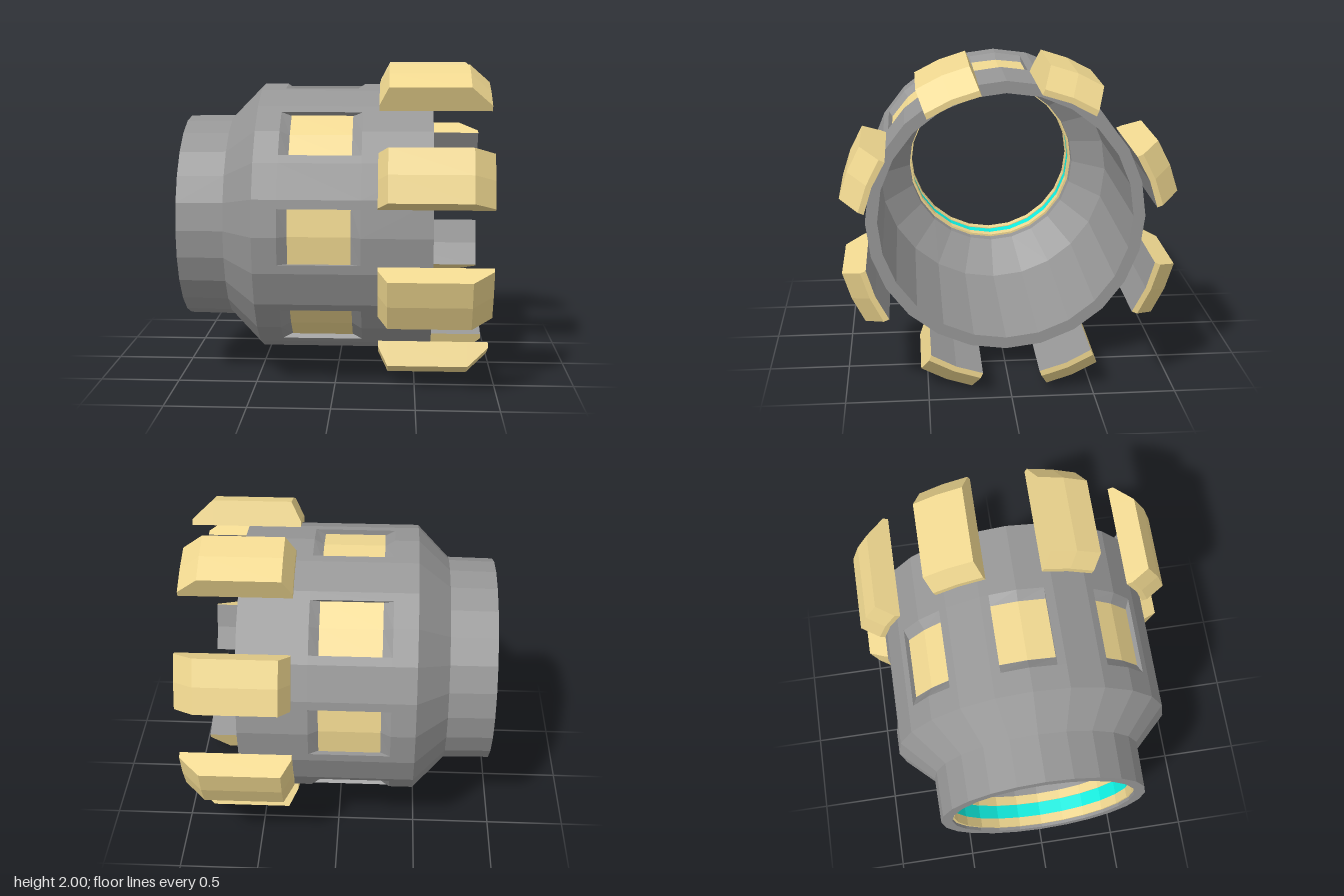
import * as THREE from 'three';

const material = (color) => new THREE.MeshStandardMaterial({ color, flatShading: true, side: THREE.DoubleSide });
const grey = material(0x969696);
const sand = material(0xf0d890);
const cyan = material(0x10eee0);

// Skin successive cross-sections; each is { x, pts: [[across, height], ...] }
function loft(sections) {
  const pos = [];
  const put = (s, j) => pos.push(s.x, s.pts[j][1], s.pts[j][0]);
  for (let i = 0; i < sections.length - 1; i++) {
    const a = sections[i], b = sections[i + 1];
    for (let j = 0; j < a.pts.length - 1; j++) {
      put(a, j); put(a, j + 1); put(b, j + 1);
      put(a, j); put(b, j + 1); put(b, j);
    }
  }
  const g = new THREE.BufferGeometry();
  g.setAttribute('position', new THREE.Float32BufferAttribute(pos, 3));
  g.computeVertexNormals();
  return g;
}

// Revolve [x, radius] points around the x axis
function revolve(name, profile, mat) {
  const g = new THREE.LatheGeometry(profile.map(([x, r]) => new THREE.Vector2(r, x)), 24);
  g.rotateZ(-Math.PI / 2);
  const m = new THREE.Mesh(g, mat);
  m.name = name;
  return m;
}

export function createModel() {
  const model = new THREE.Group();
  model.name = 'slottedCoupling';
  const axis = new THREE.Group();
  axis.name = 'sleeve';
  axis.position.y = 1;
  model.add(axis);

  const R = 0.864, X0 = -0.33, X1 = 0.17, inset = 0.06;

  // Hollow sleeve; the band from X0 to X1 is filled by the windowed sectors
  axis.add(revolve('body', [
    [X1, R], [0.6, R], [0.6, 0.79], [-0.46, 0.79], [-0.67, 0.585],
    [-0.97, 0.585], [-0.97, 0.655], [-0.68, 0.66], [-0.48, R], [X0, R],
  ], grey));

  // Seal rings inside the neck
  for (const x of [-0.95, -0.8]) {
    axis.add(revolve('retainingRing', [
      [x, 0.585], [x + 0.06, 0.585], [x + 0.06, 0.571], [x, 0.571], [x, 0.585],
    ], sand));
  }
  axis.add(revolve('seal', [[-0.8, 0.577], [-0.89, 0.577]], cyan));

  // Wall between two windows
  const edge = 11.35;
  const edgeR = R * Math.cos(Math.PI / 24) / Math.cos(THREE.MathUtils.degToRad(edge - 7.5));
  const land = [[edge, edgeR], [15, R], [30, R], [45 - edge, edgeR]].map(([deg, r]) => {
    const a = THREE.MathUtils.degToRad(deg);
    return [r * Math.sin(a), r * Math.cos(a)];
  });
  const landGeo = loft([{ x: X0, pts: land }, { x: X1, pts: land }]);

  // Recess with sloped ends and its inlaid floor
  const [w, top] = land[0];
  const low = 0.806, lowMid = 0.824;
  const mouth = [[-w, top], [-w, top], [0, R], [w, top], [w, top]];
  const pit = [[-w, top], [-w, low], [0, lowMid], [w, low], [w, top]];
  const recessGeo = loft([
    { x: X0, pts: mouth }, { x: X0 + inset, pts: pit },
    { x: X1 - inset, pts: pit }, { x: X1, pts: mouth },
  ]);
  const floor = [[-w, low + 0.003], [0, lowMid + 0.003], [w, low + 0.003]];
  const floorGeo = loft([{ x: X0 + inset, pts: floor }, { x: X1 - inset, pts: floor }]);

  // Raised block with chamfered ends, overhanging the open rim
  const hw = 0.168, base = 0.854, baseMid = 0.87;
  const block = (x, h) => ({ x, pts: [[-hw, base], [-hw, h], [0, h + 0.014], [hw, h], [hw, base]] });
  const cap = (x) => ({ x, pts: Array(5).fill([0, baseMid]) });
  const blockGeo = loft([
    cap(0.27), block(0.27, 0.89), block(0.33, 1.012),
    block(0.83, 1.012), block(0.96, 0.89), cap(0.96),
  ]);
  const under = [[hw, base], [0, baseMid], [-hw, base]];
  const underGeo = loft([{ x: 0.27, pts: under }, { x: 0.96, pts: under }]);

  // Eight repeats around the axis
  const parts = [
    ['wallSection', landGeo, grey, 0], ['windowRecess', recessGeo, grey, 0],
    ['windowInlay', floorGeo, sand, 0], ['block', blockGeo, sand, 0.5],
    ['blockUnderside', underGeo, grey, 0.5],
  ];
  for (let k = 0; k < 8; k++) {
    for (const [name, geo, mat, shift] of parts) {
      const m = new THREE.Mesh(geo, mat);
      m.name = name;
      m.rotation.x = (k + shift) * Math.PI / 4;
      axis.add(m);
    }
  }
  return model;
}
